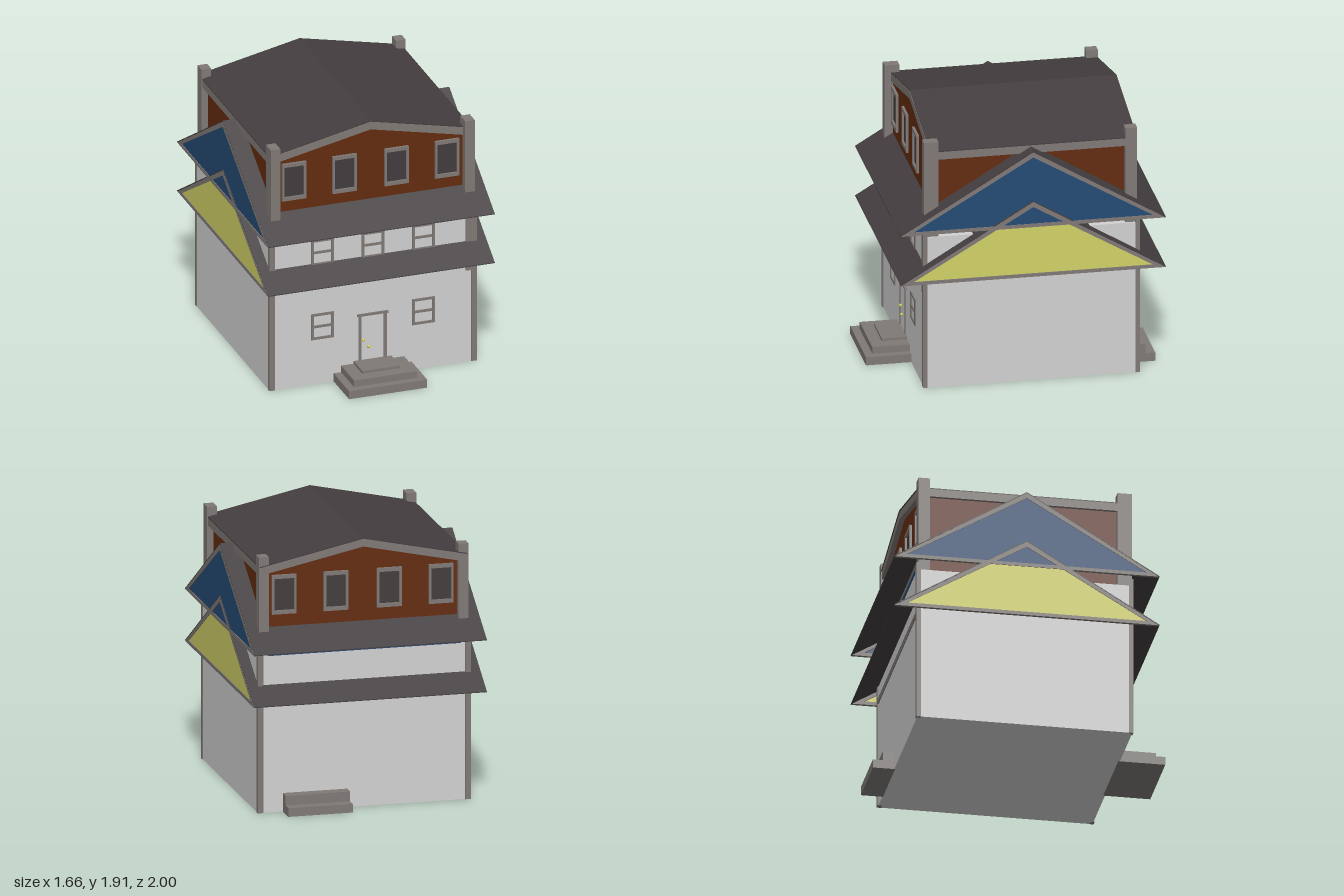
import * as THREE from 'three';

const mat = (name, color) => {
  const m = new THREE.MeshStandardMaterial({ color });
  m.name = name;
  return m;
};

export function createModel() {
  const house = new THREE.Group();
  house.name = 'house';

  const wall = mat('wall white', 0xd2d2d2);
  const trim = mat('trim grey', 0x807a76);
  const brown = mat('cladding brown', 0x642c0f);
  const blue = mat('gable blue', 0x244b75);
  const yellow = mat('gable yellow', 0xd2d268);
  const roof = mat('roof charcoal', 0x443e40);
  const glass = mat('window glass', 0x423d3e);
  const brass = mat('brass', 0xd4cc40);

  const add = (name, geo, material, parent = house) => {
    const m = new THREE.Mesh(geo, material);
    m.name = name;
    parent.add(m);
    return m;
  };
  // box from its two corners
  const box = (name, material, x0, x1, y0, y1, z0, z1, parent) =>
    add(name, new THREE.BoxGeometry(x1 - x0, y1 - y0, z1 - z0)
      .translate((x0 + x1) / 2, (y0 + y1) / 2, (z0 + z1) / 2), material, parent);
  const vec = (pts) => pts.map(([a, b]) => new THREE.Vector2(a, b));
  const extrude = (pts, depth, hole) => {
    const s = new THREE.Shape(vec(pts));
    if (hole) s.holes.push(new THREE.Path(vec(hole)));
    return new THREE.ExtrudeGeometry(s, { depth, bevelEnabled: false });
  };
  // outline in (x, y), running along z
  const prismZ = (name, material, pts, z0, z1) =>
    add(name, extrude(pts, z1 - z0).translate(0, 0, z0), material);
  // outline in (z, y), running along x
  const prismX = (name, material, pts, x0, x1, hole) =>
    add(name, extrude(pts, x1 - x0, hole).rotateY(-Math.PI / 2).translate(x1, 0, 0), material);

  const MID = -0.07; // z of the house centre

  // white lower storeys with corner strips
  box('lowerWalls', wall, -0.757, 0.757, 0, 1.12, -0.825, 0.682);
  for (const s of [-1, 1]) {
    for (const [z0, z1] of [[0.66, 0.69], [-0.833, -0.8]]) {
      const a = s * 0.72, b = s * 0.76;
      box('cornerStrip', trim, Math.min(a, b), Math.max(a, b), 0, 1.17, z0, z1);
    }
  }
  for (const [z0, z1] of [[0.67, 0.688], [-0.831, -0.815]]) {
    box('lowerBeam', trim, -0.72, 0.72, 0.77, 0.81, z0, z1);
    box('blueBand', blue, -0.69, 0.68, 1.118, 1.142, z0, z1);
    box('upperBeam', trim, -0.76, 0.76, 1.14, 1.172, z0, z1);
  }
  box('innerStrip', trim, 0.68, 0.722, 0.69, 1.13, 0.67, 0.687);

  // two wide cross roofs with framed gable ends
  const crossRoof = (name, base, panelMat, panelPts) => {
    const e = 0.93, top = base + 0.56;
    prismX(name, roof, [
      [MID + e, base], [MID + e, base + 0.006], [MID, top + 0.006],
      [MID - e, base + 0.006], [MID - e, base], [MID, top - 0.004],
    ], -0.83, 0.83);
    const outer = [[MID + e - 0.005, base], [MID, top - 0.002], [MID - e + 0.005, base]];
    const inner = [[MID + 0.84, base + 0.025], [MID, top - 0.04], [MID - 0.84, base + 0.025]];
    for (const [x0, x1] of [[0.81, 0.831], [-0.831, -0.81]]) {
      prismX(name + 'GableFrame', trim, outer, x0, x1, inner);
      const c = Math.sign(x0) * 0.823;
      prismX(name + 'GablePanel', panelMat, panelPts, c - 0.003, c + 0.003);
    }
  };
  crossRoof('upperCrossRoof', 1.17, blue,
    [[MID + 0.85, 1.19], [MID, 1.70], [MID - 0.85, 1.19]]);
  crossRoof('lowerCrossRoof', 0.80, yellow,
    [[MID + 0.85, 0.82], [MID + 0.27, 1.172], [MID - 0.27, 1.172], [MID - 0.85, 0.82]]);

  // brown top storey
  prismZ('topStorey', brown,
    [[-0.70, 1.12], [0.70, 1.12], [0.70, 1.72], [0, 1.87], [-0.70, 1.72]], -0.775, 0.625);
  // shallow roof on a grey fascia
  const chevron = (low, high) => [
    [-0.742, 1.745 + low], [0, 1.905 + low], [0.742, 1.745 + low],
    [0.742, 1.745 + high], [0, 1.905 + high], [-0.742, 1.745 + high],
  ];
  prismZ('topFascia', trim, chevron(-0.057, 0), -0.81, 0.64);
  prismZ('topRoof', roof, chevron(0, 0.007), -0.815, 0.637);
  // corner posts
  for (const s of [-1, 1]) {
    for (const [z0, z1] of [[0.58, 0.683], [-0.815, -0.733]]) {
      const a = s * 0.677, b = s * 0.747;
      box('cornerPost', trim, Math.min(a, b), Math.max(a, b), 1.12, 1.822, z0, z1);
    }
  }

  // framed dark windows, front and back of the top storey
  const rect = (w, h) => [[-w / 2, -h / 2], [w / 2, -h / 2], [w / 2, h / 2], [-w / 2, h / 2]];
  for (const x of [-0.56, -0.19, 0.19, 0.56]) {
    for (const [z, dir] of [[0.625, 1], [-0.775, -1]]) {
      const g = new THREE.Group();
      g.name = 'topWindow';
      g.position.set(x, 1.54, z);
      if (dir < 0) g.rotation.y = Math.PI;
      add('topWindowFrame', extrude(rect(0.176, 0.28), 0.018, rect(0.142, 0.226)), trim, g);
      box('topWindowGlass', glass, -0.072, 0.072, -0.114, 0.114, 0, 0.004, g);
      house.add(g);
    }
  }

  // sash windows on the white front
  const sash = (x, y) => {
    const g = new THREE.Group();
    g.name = 'sashWindow';
    g.position.set(x, y, 0.682);
    add('sashFrame', extrude(rect(0.166, 0.195), 0.008, rect(0.126, 0.159)), trim, g);
    box('sashBar', trim, -0.065, 0.065, -0.009, 0.009, 0, 0.008, g);
    house.add(g);
  };
  for (const x of [-0.37, 0, 0.37]) sash(x, 0.997);
  for (const x of [-0.37, 0.37]) sash(x, 0.435);

  // front door
  box('doorPostRight', trim, -0.106, -0.086, 0.12, 0.47, 0.68, 0.69);
  box('doorPostLeft', trim, 0.08, 0.1, 0.12, 0.47, 0.68, 0.69);
  box('doorLintel', trim, -0.116, 0.11, 0.463, 0.48, 0.68, 0.694);
  for (const [x, y] of [[-0.07, 0.28], [-0.033, 0.227]]) {
    add('doorKnob', new THREE.SphereGeometry(0.011, 12, 8).translate(x, y, 0.688), brass);
  }

  // front steps
  box('frontStepLow', trim, -0.287, 0.285, 0, 0.06, 0.67, 1.0);
  box('frontStepMiddle', trim, -0.232, 0.23, 0.06, 0.11, 0.67, 0.945);
  box('frontStepTop', trim, -0.14, 0.137, 0.11, 0.13, 0.67, 0.86);
  // back steps
  box('backStepLow', trim, 0.12, 0.58, 0, 0.062, -0.975, -0.82);
  box('backStepTop', trim, 0.12, 0.58, 0.062, 0.132, -0.905, -0.82);

  return house;
}
